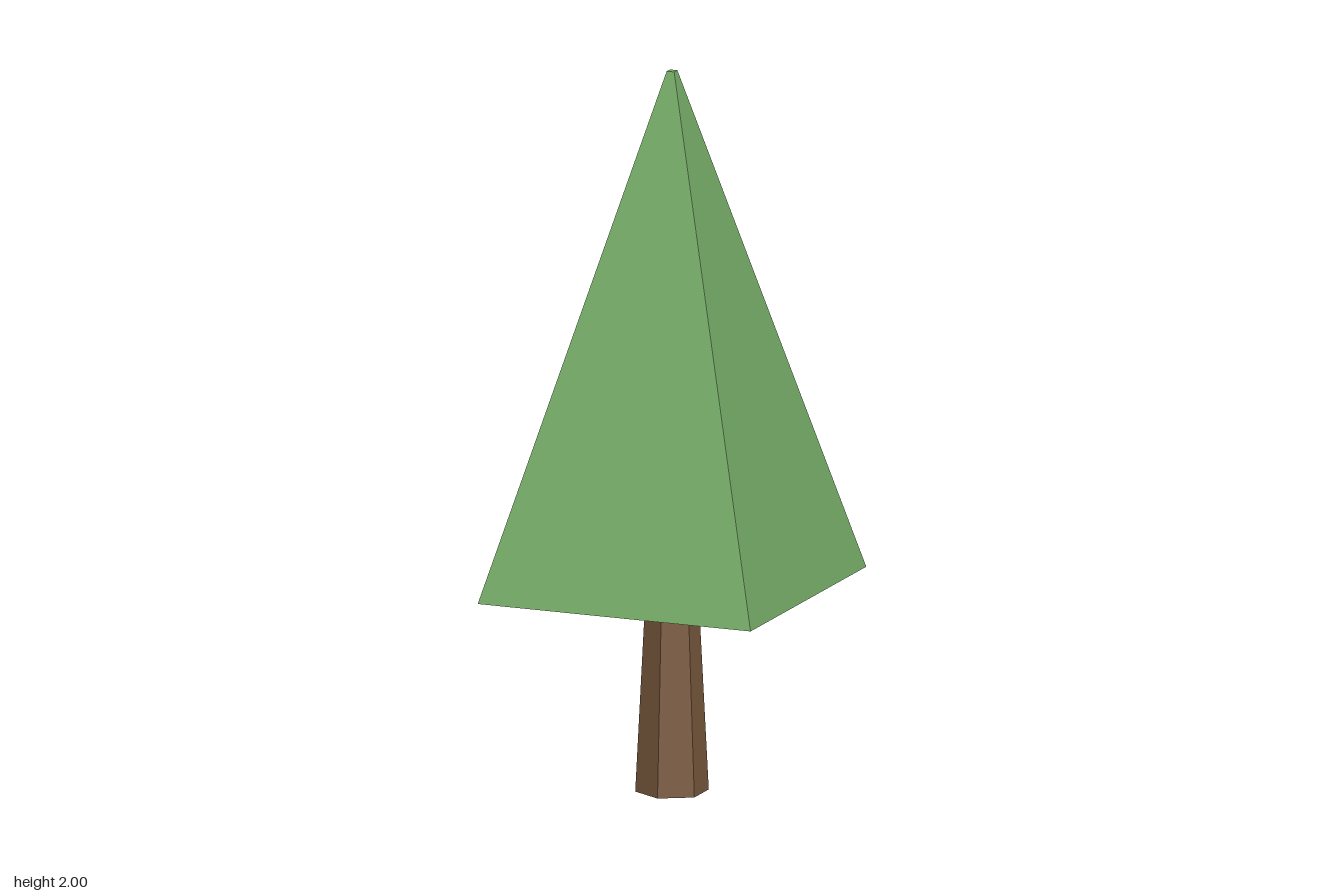
import * as THREE from 'three';

export function createModel() {
  const tree = new THREE.Group();
  tree.name = 'tree';

  const leafGreen = new THREE.MeshStandardMaterial({ color: 0x76ad68, flatShading: true });
  leafGreen.name = 'leaf green';
  const barkBrown = new THREE.MeshStandardMaterial({ color: 0x7c5c40, flatShading: true, side: THREE.DoubleSide });
  barkBrown.name = 'bark brown';

  const baseY = 0.57; // where the foliage starts
  const height = 2;

  // Foliage: four-sided pyramid with a tiny flat tip
  const foliageHeight = height - baseY;
  const foliageGeometry = new THREE.CylinderGeometry(0.011 * Math.SQRT2, 0.4 * Math.SQRT2, foliageHeight, 4);
  foliageGeometry.rotateY(Math.PI / 4);
  const foliage = new THREE.Mesh(foliageGeometry, leafGreen);
  foliage.name = 'foliage';
  foliage.position.y = baseY + foliageHeight / 2;

  // Trunk: tapered six-sided tube, open at the ends
  const trunk = new THREE.Mesh(new THREE.CylinderGeometry(0.071, 0.1, baseY, 6, 1, true), barkBrown);
  trunk.name = 'trunk';
  trunk.position.y = baseY / 2;

  tree.add(foliage, trunk);
  return tree;
}
